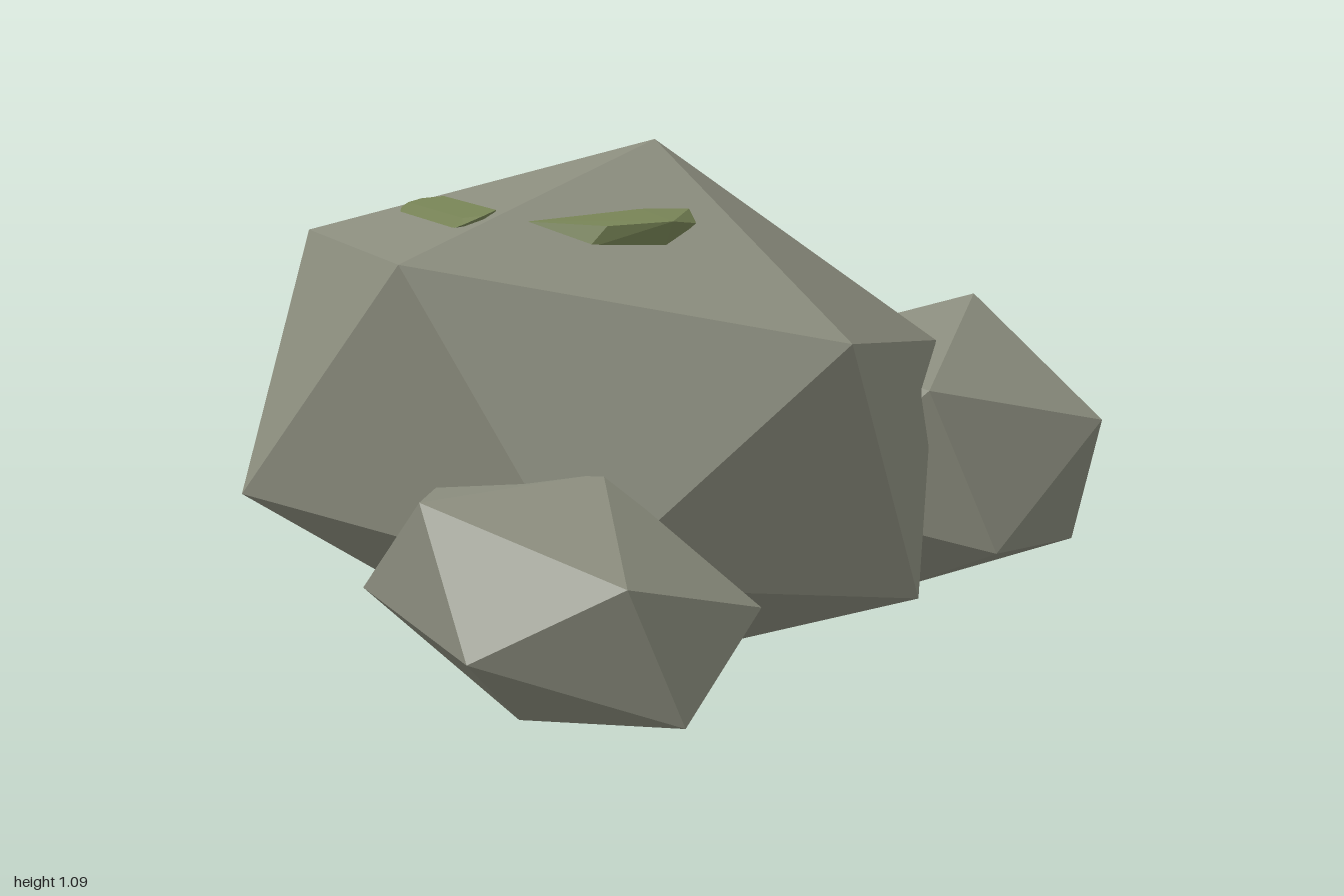
import * as THREE from 'three';
import { ConvexGeometry } from 'three/addons/geometries/ConvexGeometry.js';

const V = (p) => new THREE.Vector3(...p);

export function createModel() {
  const group = new THREE.Group();
  const stone = new THREE.MeshStandardMaterial({ color: 0x8a8c7d, flatShading: true });
  stone.name = 'stone';
  const moss = new THREE.MeshStandardMaterial({ color: 0x768255, flatShading: true });
  moss.name = 'moss';

  const add = (name, geometry, material) => {
    const mesh = new THREE.Mesh(geometry, material);
    mesh.name = name;
    group.add(mesh);
  };

  // Boulder: an icosahedron stretched and tilted along three axes
  const radius = Math.hypot(1, (1 + Math.sqrt(5)) / 2);
  const boulder = (name, center, x, y, z) => {
    const geometry = new THREE.IcosahedronGeometry(radius, 0);
    geometry.applyMatrix4(new THREE.Matrix4().makeBasis(V(x), V(y), V(z)).setPosition(V(center)));
    geometry.computeVertexNormals();
    add(name, geometry, stone);
  };
  boulder('mainBoulder', [-0.25, 0.546, -0.13], [0.321, -0.221, 0], [0.26, 0.2, 0], [0, 0, 0.35]);
  boulder('leftBoulder', [0.578, 0.39, -0.29], [0.07, -0.002, -0.208], [0.213, 0.045, 0.031], [0.08, -0.179, 0.006]);
  boulder('frontBoulder', [-0.53, 0.314, 0.367], [-0.058, 0.132, 0.018], [0.039, -0.025, 0.189], [0.17, 0.009, -0.011]);

  // Moss clumps on both slopes, mirrored across the ridge
  const ridge = -0.13;
  const clump = [
    [-0.505, 0.96, 0.105], [-0.26, 0.972, 0.075], [-0.165, 0.97, 0.085],
    [-0.165, 0.945, 0.12], [-0.24, 0.957, 0.19], [-0.24, 0.962, 0.11],
    [-0.365, 0.952, 0.178], [-0.4, 0.912, 0.17], [-0.25, 0.9, 0.17], [-0.3, 0.9, 0.1],
  ];
  add('frontMoss', new ConvexGeometry(clump.map(V)), moss);
  add('backMoss', new ConvexGeometry(clump.map(([x, y, z]) => V([x, y, 2 * ridge - z]))), moss);

  // Long moss strip across the right slope
  const strip = [];
  for (const side of [-1, 1]) {
    for (const [x, y, reach] of [
      [-0.625, 0.945, 0.18], [-0.612, 0.955, 0.213], [-0.604, 0.966, 0.19],
      [-0.57, 0.971, 0.213], [-0.535, 0.977, 0.175], [-0.57, 0.93, 0.19],
    ]) strip.push(V([x, y, ridge + side * reach]));
  }
  add('rightMoss', new ConvexGeometry(strip), moss);

  return group;
}
